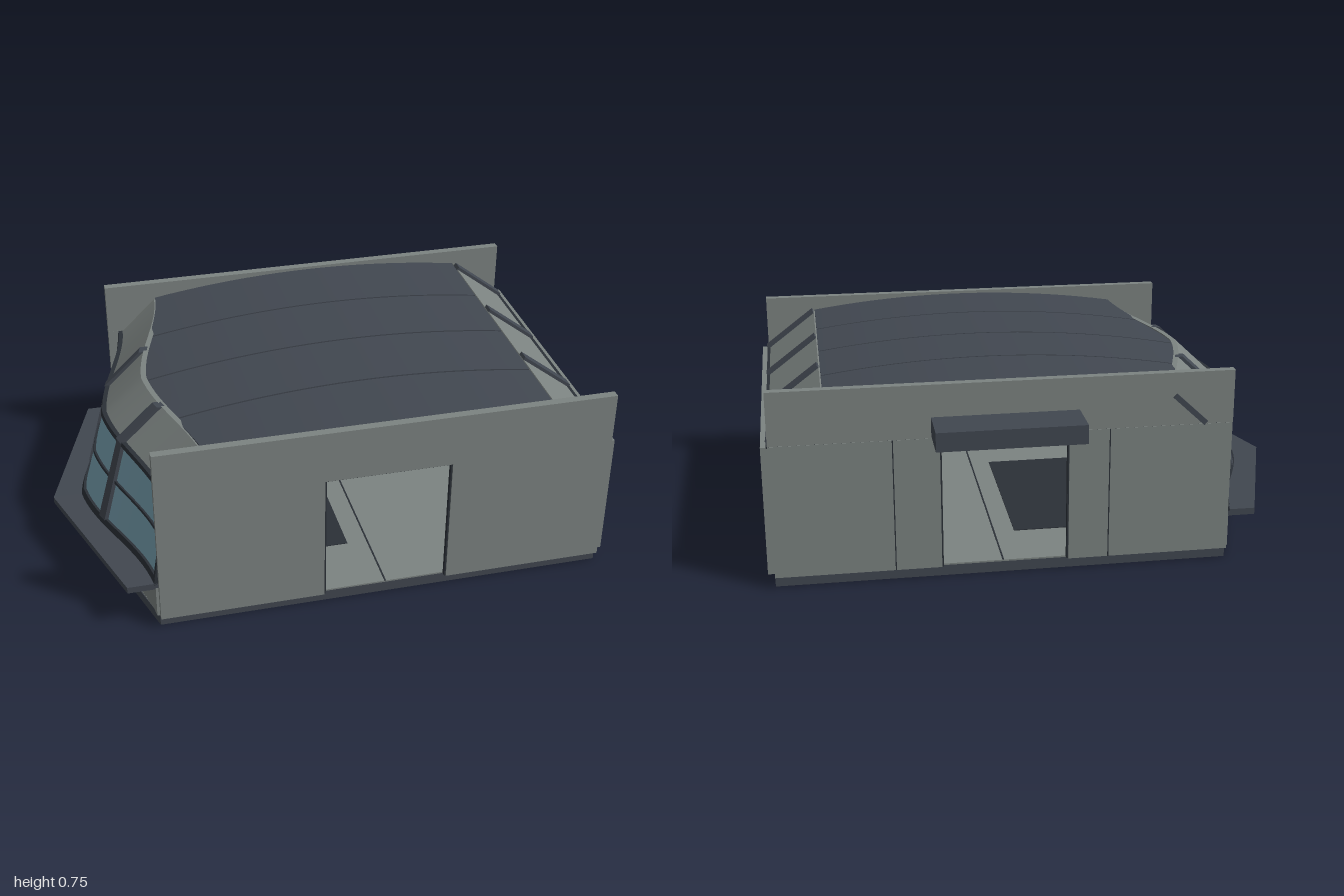
import * as THREE from 'three';
import { toCreasedNormals } from 'three/addons/utils/BufferGeometryUtils.js';

const mat = (name, color) => {
  const m = new THREE.MeshStandardMaterial({ color });
  m.name = name;
  return m;
};
const Z0 = -0.53, Z1 = 0.69, ZC = 0.08;
const lerp = (a, b, t) => a + (b - a) * t;

// Closed curved plate: fn(u, v) gives the outer skin, off leads to the inner skin
function slab(fn, nu, nv, off) {
  const d = new THREE.Vector3(...off), tri = [];
  const p = (i, j, k) => new THREE.Vector3(...fn(i / nu, j / nv)).addScaledVector(d, k);
  const o = p(0, 0, 0);
  const flip = p(nu, 0, 0).sub(o).cross(p(0, nv, 0).sub(o)).dot(d) > 0;
  const quad = (a, b, c, e) => {
    for (const q of flip ? [a, c, b, a, e, c] : [a, b, c, a, c, e]) tri.push(q.x, q.y, q.z);
  };
  for (let i = 0; i < nu; i++) for (let j = 0; j < nv; j++) {
    quad(p(i, j, 0), p(i + 1, j, 0), p(i + 1, j + 1, 0), p(i, j + 1, 0));
    quad(p(i, j, 1), p(i, j + 1, 1), p(i + 1, j + 1, 1), p(i + 1, j, 1));
  }
  for (let i = 0; i < nu; i++) {
    quad(p(i, 0, 0), p(i, 0, 1), p(i + 1, 0, 1), p(i + 1, 0, 0));
    quad(p(i, nv, 0), p(i + 1, nv, 0), p(i + 1, nv, 1), p(i, nv, 1));
  }
  for (let j = 0; j < nv; j++) {
    quad(p(0, j, 0), p(0, j + 1, 0), p(0, j + 1, 1), p(0, j, 1));
    quad(p(nu, j, 0), p(nu, j, 1), p(nu, j + 1, 1), p(nu, j + 1, 0));
  }
  const g = new THREE.BufferGeometry();
  g.setAttribute('position', new THREE.Float32BufferAttribute(tri, 3));
  return toCreasedNormals(g, 0.5);
}

// Bowed plan curve: x at depth z for a given centre and edge x
function bow(centre, edge, z) {
  const t = Math.abs(z - ZC) / 0.61;
  return lerp(centre, edge, 0.35 * t + 0.65 * (1 - Math.cos(Math.PI * t)) / 2);
}
const roofY = x => 0.735 - 0.125 * (x - 0.17) ** 2;

export function createModel() {
  const root = new THREE.Group();
  const wall = mat('wall grey', 0x7c8381), dark = mat('roof slate', 0x414750);
  const trim = mat('dark trim', 0x2b3037), glass = mat('window blue', 0x77a0b0);
  const amber = mat('amber panel', 0xb87a3c);

  const add = (name, geo, m) => {
    const mesh = new THREE.Mesh(geo, m);
    mesh.name = name;
    root.add(mesh);
    return mesh;
  };
  const box = (name, m, x0, x1, y0, y1, z0, z1) => {
    const b = add(name, new THREE.BoxGeometry(x1 - x0, y1 - y0, z1 - z0), m);
    b.position.set((x0 + x1) / 2, (y0 + y1) / 2, (z0 + z1) / 2);
    return b;
  };
  const plan = (name, m, pts, y0, y1) => {
    const s = new THREE.Shape(pts.map(([x, z]) => new THREE.Vector2(x, -z)));
    const g = new THREE.ExtrudeGeometry(s, { depth: y1 - y0, bevelEnabled: false });
    add(name, g.rotateX(-Math.PI / 2).translate(0, y0, 0), m);
  };

  // Base and floor
  plan('base', dark, [[0.975, Z0], [0.975, Z1], [-0.69, Z1], [-0.88, ZC], [-0.69, Z0]], 0, 0.04);
  plan('floor', wall, [[0.975, Z0], [0.975, Z1], [-0.69, Z1], [-0.87, ZC], [-0.69, Z0]], 0.04, 0.046);
  box('floorInset', trim, -0.4, 0.07, 0.046, 0.049, -0.28, 0.44);
  box('floorSeam', trim, 0.145, 0.151, 0.046, 0.048, Z0, Z1);

  // Side walls with doorways
  for (const [z0, z1] of [[0.69, 0.715], [-0.555, -0.53]]) {
    box('sideWall', wall, -0.69, -0.09, 0.045, 0.545, z0, z1);
    box('sideWall', wall, 0.375, 0.975, 0.045, 0.545, z0, z1);
    box('parapet', wall, -0.69, 0.975, 0.547, 0.745, z0 - 0.003, z1 + 0.003);
    box('wallJoint', trim, -0.685, 0.97, 0.543, 0.549, z0 + 0.002, z1 - 0.002);
    for (const x of [-0.09, 0.369]) box('doorJamb', trim, x, x + 0.006, 0.045, 0.545, z0 + 0.004, z1 - 0.004);
  }
  for (const x of [-0.24, 0.54]) box('wallSeam', trim, x, x + 0.004, 0.045, 0.545, -0.556, -0.55);
  box('canopy', dark, -0.125, 0.405, 0.555, 0.625, -0.72, -0.555);
  const brace = box('wallBrace', dark, -0.61, -0.45, 0.595, 0.615, -0.565, -0.55);
  brace.rotation.z = 0.75;

  // End wall and sloped upper panel with ribs
  box('endWall', wall, 0.975, 1, 0.05, 0.535, Z0, Z1);
  box('endWallRail', trim, 0.95, 0.98, 0.53, 0.545, Z0, Z1);
  const slope = (z0, z1, lift) => (u, v) =>
    [lerp(0.975, 0.78, u) + lift * 0.6, lerp(0.54, 0.688, u) + lift * 0.8, lerp(z0, z1, v)];
  add('slopedPanel', slab(slope(Z0, Z1, 0), 1, 1, [-0.012, -0.016, 0]), wall);
  for (const z of [0.66, 0.287, -0.102, -0.488])
    add('slopeRib', slab(slope(z - 0.022, z + 0.022, 0.012), 1, 1, [-0.012, -0.016, 0]), dark);

  // Arched roof in four panels, with beams below the joints
  const strip = (z0, z1, drop) => (u, v) => {
    const z = lerp(z0, z1, v), x = lerp(bow(-0.63, -0.49, z), 0.775, u);
    return [x, roofY(x) - drop, z];
  };
  const w = (Z1 - Z0) / 4;
  for (let i = 0; i < 4; i++) {
    const z = Z0 + i * w;
    add('roofPanel', slab(strip(z + 0.004, z + w - 0.004, 0), 20, 8, [0, -0.022, 0]), dark);
    if (i) add('roofBeam', slab(strip(z - 0.015, z + 0.015, 0.018), 20, 2, [0, -0.03, 0]), wall);
  }

  // Ceiling lattice, amber panels and vents
  for (let i = 0; i < 4; i++) {
    const z = Z0 + i * w;
    box('ceilingBeam', wall, -0.45, 0.75, 0.6, 0.625, z + 0.02, z + 0.04);
    for (let k = 0; k < 4; k++) {
      const x = -0.44 + k * 0.3, vent = (i === 1 || i === 2) && k > 0;
      box(vent ? 'ceilingVent' : 'ceilingPanel', vent ? trim : amber,
        x + 0.03, x + 0.27, 0.618, 0.626, z + 0.07, z + w - 0.03);
    }
  }
  for (let k = 0; k < 5; k++)
    box('ceilingCrossBeam', wall, -0.45 + k * 0.3, -0.43 + k * 0.3, 0.6, 0.625, Z0, Z1);

  // Bowed window end: each level is [y, centre x, edge x]
  const levels = { base: [0.045, -0.89, -0.7], knee: [0.17, -0.89, -0.7], sill: [0.21, -0.875, -0.69],
    head: [0.54, -0.775, -0.635], eave: [0.672, -0.635, -0.495] };
  const face = (a, b, u0, u1, z0, z1, push) => (u, v) => {
    const s = lerp(u0, u1, u), z = lerp(z0, z1, v);
    const [y, c, e] = levels[a].map((n, i) => lerp(n, levels[b][i], s));
    return [bow(c, e, z) - push, y, z];
  };
  const band = (name, m, a, b, u0, u1, push, t) =>
    add(name, slab(face(a, b, u0, u1, Z0, Z1, push), 1, 32, [t, 0, 0]), m);
  band('kneeWall', wall, 'base', 'knee', 0, 1, 0, 0.02);
  band('windowGlass', glass, 'sill', 'head', 0, 1, 0, 0.01);
  band('windowSill', trim, 'knee', 'sill', 0.3, 1.1, 0.01, 0.05);
  band('windowTransom', trim, 'sill', 'head', 0.485, 0.515, 0.008, 0.025);
  band('windowHead', trim, 'sill', 'head', 0.96, 1.01, 0.014, 0.04);
  band('upperPanel', wall, 'head', 'eave', 0, 1, 0, 0.02);
  for (const z of [-0.13, 0.28]) {
    add('mullion', slab(face('sill', 'head', 0, 1, z - 0.02, z + 0.02, 0.014), 1, 3, [0.03, 0, 0]), dark);
    add('upperRib', slab(face('head', 'eave', 0, 1, z - 0.02, z + 0.02, 0.018), 1, 3, [0.03, 0, 0]), dark);
  }
  for (const z of [Z0, Z1 - 0.015])
    add('endMullion', slab(face('sill', 'head', 0, 1, z, z + 0.015, 0.012), 1, 2, [0.03, 0, 0]), trim);

  // Outer ledge and inner console
  plan('ledge', dark, [[-0.8, Z0], [-1, ZC], [-0.8, Z1], [-0.68, Z1], [-0.86, ZC], [-0.68, Z0]], 0.165, 0.19);
  box('console', trim, -0.62, -0.48, 0.046, 0.2, -0.35, 0.5);
  box('consoleStrip', amber, -0.6, -0.56, 0.2, 0.206, -0.33, 0.48);

  return root;
}
